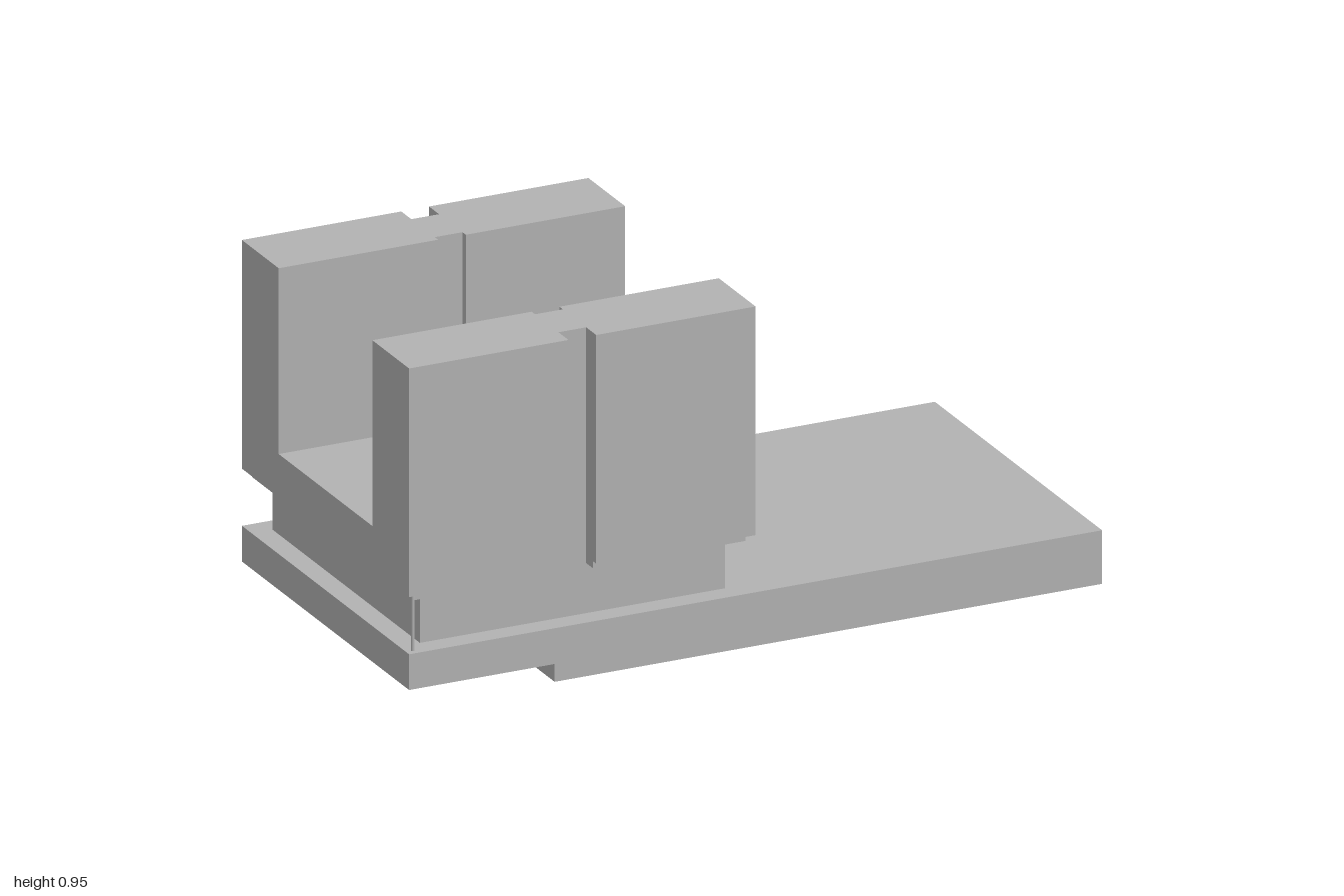
import * as THREE from 'three';

export function createModel() {
  const model = new THREE.Group();
  model.name = 'slottedCradle';
  const grey = new THREE.MeshStandardMaterial({ color: 0xb2b2b2 });
  grey.name = 'plain grey';

  const add = (name, geometry) => {
    const mesh = new THREE.Mesh(geometry, grey);
    mesh.name = name;
    model.add(mesh);
    return mesh;
  };
  const extrude = (points, depth) => new THREE.ExtrudeGeometry(
    new THREE.Shape(points.map(([a, b]) => new THREE.Vector2(a, b))),
    { depth, bevelEnabled: false });
  // Upright prism from an outline given as (x, -z)
  const prism = (name, outline, y0, y1) =>
    add(name, extrude(outline, y1 - y0).rotateX(-Math.PI / 2).translate(0, y0, 0));

  const middle = -0.5;   // centre of the cradle along x
  const g0 = middle - 0.04, g1 = middle + 0.04;   // groove sides

  // Rectangle with a groove in the middle of both long sides
  const groovedSlab = (halfX, halfZ) => {
    const x0 = middle - halfX, x1 = middle + halfX;
    return [
      [x0, -halfZ], [g0, -halfZ], [g0, -0.44], [g1, -0.44], [g1, -halfZ], [x1, -halfZ],
      [x1, halfZ], [g1, halfZ], [g1, 0.44], [g0, 0.44], [g0, halfZ], [x0, halfZ],
    ];
  };

  // Base plate, thinner at the cradle end
  add('basePlate', extrude([
    [-1, 0.05], [-0.58, 0.05], [-0.58, 0], [1, 0], [1, 0.15], [-1, 0.15],
  ], 1).translate(0, 0, -0.5));

  // Pedestal and the thin ledge above it
  add('pedestal', new THREE.BoxGeometry(0.88, 0.14, 0.88).translate(middle, 0.22, 0));
  prism('ledge', groovedSlab(0.48, 0.48), 0.29, 0.31);

  // Cradle floor
  prism('cradleFloor', groovedSlab(0.5, 0.5), 0.31, 0.43);

  // Two upright walls, grooved deep outside and shallow inside
  for (const [name, s] of [['frontWall', -1], ['backWall', 1]]) {
    const outline = [
      [-1, 0.28], [g0, 0.28], [g0, 0.3], [g1, 0.3], [g1, 0.28], [0, 0.28],
      [0, 0.5], [g1, 0.5], [g1, 0.44], [g0, 0.44], [g0, 0.5], [-1, 0.5],
    ].map(([x, z]) => [x, z * s]);
    prism(name, outline, 0.43, 0.95);
  }

  // Thin pin at one corner
  add('cornerPin', new THREE.CylinderGeometry(0.005, 0.005, 0.16, 12).translate(-0.98, 0.23, 0.48));

  return model;
}
